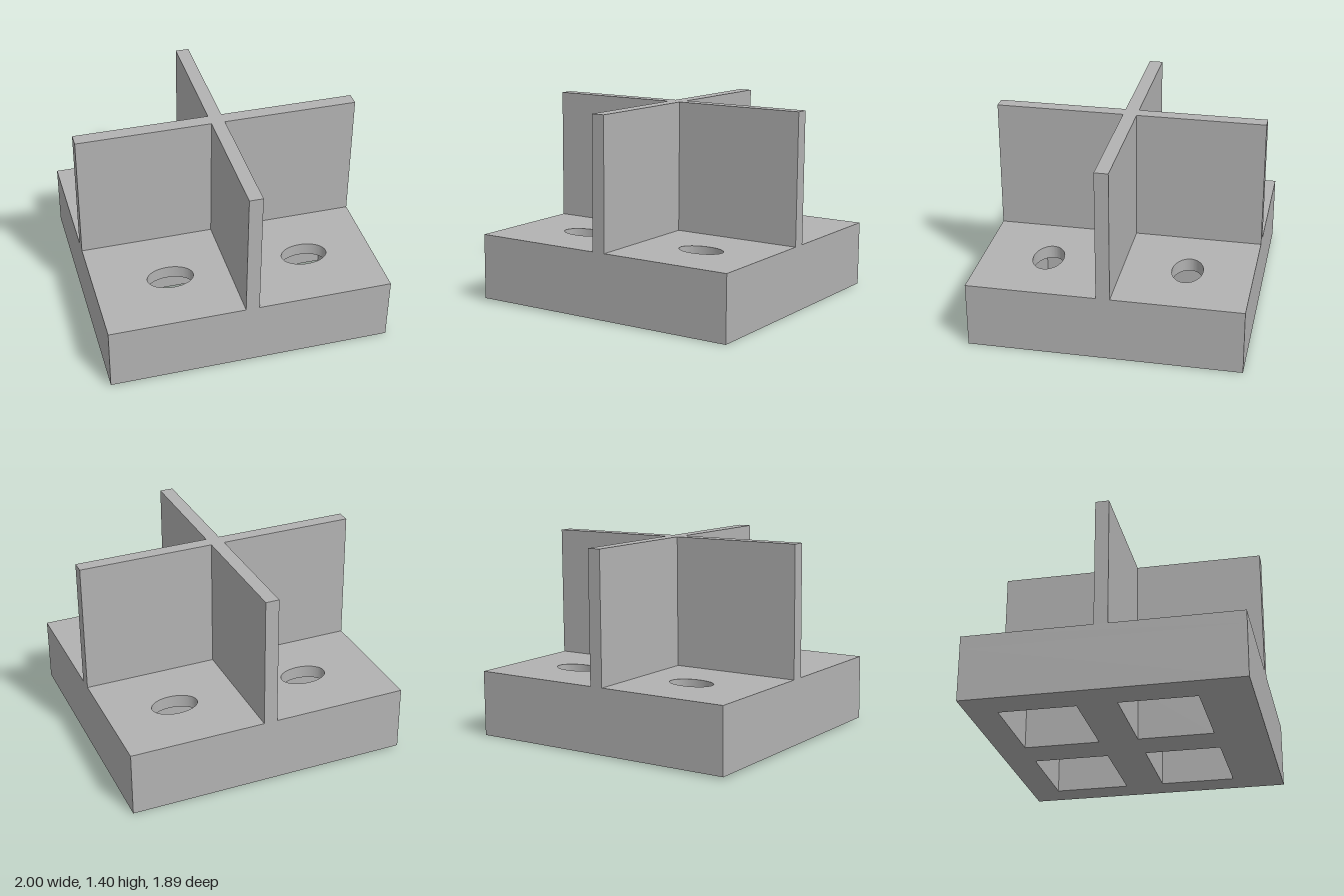
import * as THREE from 'three';
import { toCreasedNormals } from 'three/addons/utils/BufferGeometryUtils.js';

const WIDTH = 1.988, DEPTH = 1.894;
const BASE_HEIGHT = 0.461, POCKET_DEPTH = 0.37, TOTAL_HEIGHT = 1.383;
const WALL = 0.095;
const TILT = -0.0085;

// Rectangle centred on (x, z)
function rectangle(x, z, w, d, Type = THREE.Shape) {
  const s = new Type();
  s.moveTo(x - w / 2, z - d / 2);
  s.lineTo(x + w / 2, z - d / 2);
  s.lineTo(x + w / 2, z + d / 2);
  s.lineTo(x - w / 2, z + d / 2);
  s.closePath();
  return s;
}

// Plan outline (x, z) raised from y0 to y1
function raise(shape, y0, y1) {
  const geo = new THREE.ExtrudeGeometry(shape, { depth: y1 - y0, bevelEnabled: false, curveSegments: 48 });
  geo.rotateX(Math.PI / 2).translate(0, y1, 0);
  return toCreasedNormals(geo, 0.5);
}

export function createModel() {
  const grey = new THREE.MeshStandardMaterial({ color: 0xb2b2b2 });
  grey.name = 'grey';

  const body = new THREE.Group();
  body.name = 'body';
  const add = (name, geo) => {
    const mesh = new THREE.Mesh(geo, grey);
    mesh.name = name;
    body.add(mesh);
  };

  // Lower block with four rectangular pockets, open below
  const block = rectangle(0, 0, WIDTH, DEPTH);
  for (const x of [-0.437, 0.472])
    for (const z of [-0.475, 0.328])
      block.holes.push(rectangle(x, z, 0.64, 0.53, THREE.Path));
  add('pocketedBlock', raise(block, 0, POCKET_DEPTH));

  // Top plate with an oval hole into each pocket
  const plate = rectangle(0, 0, WIDTH, DEPTH);
  for (const x of [-0.458, 0.514])
    for (const z of [-0.493, 0.486]) {
      const oval = new THREE.Path();
      oval.absellipse(x, z, 0.163, 0.107, 0, Math.PI * 2);
      plate.holes.push(oval);
    }
  add('topPlate', raise(plate, POCKET_DEPTH, BASE_HEIGHT));

  // Crossed upright walls, one plus-shaped outline
  const t = WALL / 2, w = WIDTH / 2, d = DEPTH / 2;
  const cross = new THREE.Shape([
    [t, t], [t, d], [-t, d], [-t, t], [-w, t], [-w, -t],
    [-t, -t], [-t, -d], [t, -d], [t, -t], [w, -t], [w, t],
  ].map(([x, z]) => new THREE.Vector2(x, z)));
  add('crossWalls', raise(cross, BASE_HEIGHT, TOTAL_HEIGHT));

  // The whole piece leans very slightly to one side
  body.rotation.z = TILT;
  body.position.set(TILT * -TOTAL_HEIGHT * -0.5, -TILT * w, 0);

  const model = new THREE.Group();
  model.name = 'crossWallBlock';
  model.add(body);
  return model;
}
